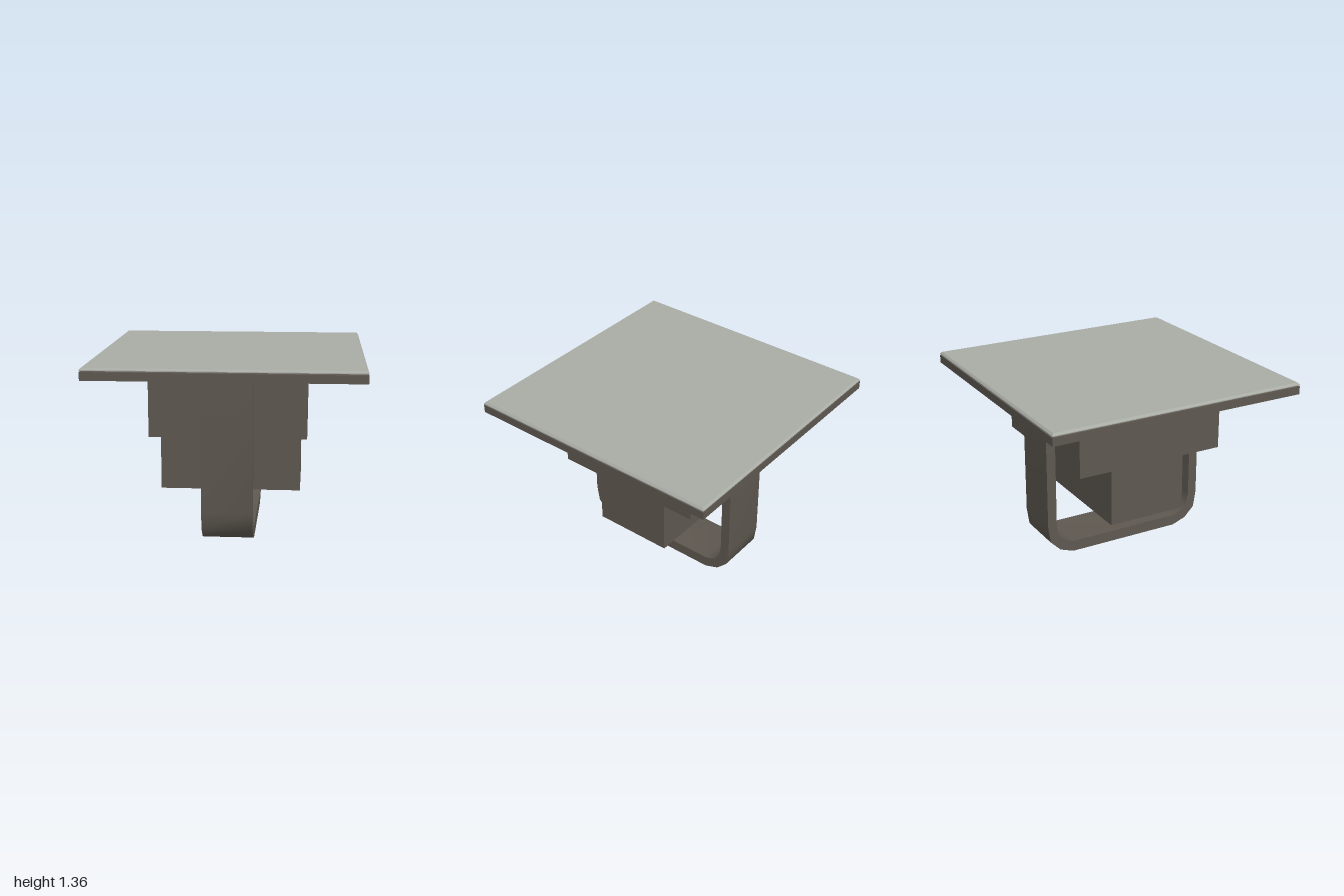
import * as THREE from 'three';
import { toCreasedNormals } from 'three/addons/utils/BufferGeometryUtils.js';

export function createModel() {
  const model = new THREE.Group();
  model.name = 'squareButton';

  const darkMetal = new THREE.MeshStandardMaterial({ color: 0x5e5850 });
  darkMetal.name = 'dark metal';
  const greyPanel = new THREE.MeshStandardMaterial({ color: 0xa9aba5 });
  greyPanel.name = 'grey panel';

  const add = (name, geometry, material) => {
    const mesh = new THREE.Mesh(geometry, material);
    mesh.name = name;
    model.add(mesh);
    return mesh;
  };
  const block = (name, width, depth, bottom, top) => {
    const mesh = add(name, new THREE.BoxGeometry(width, top - bottom, depth), darkMetal);
    mesh.position.y = (bottom + top) / 2;
  };

  // Stacked housing under the plate
  block('basePlate', 1.97, 2, 1.275, 1.335);
  block('upperHousing', 1.15, 1.18, 0.793, 1.275);
  block('lowerHousing', 1.05, 0.615, 0.333, 0.787);

  // Top panel: a thin slab with its upper rim drawn in
  const slab = new THREE.BoxGeometry(1.97, 0.02, 2, 1, 2, 1);
  const p = slab.attributes.position;
  for (let i = 0; i < p.count; i++) {
    if (p.getY(i) > 0.005) {
      p.setX(i, p.getX(i) - Math.sign(p.getX(i)) * 0.013);
      p.setZ(i, p.getZ(i) - Math.sign(p.getZ(i)) * 0.013);
    } else if (Math.abs(p.getY(i)) < 0.005) {
      p.setY(i, -0.004);
    }
  }
  add('topPanel', toCreasedNormals(slab, 0.2), greyPanel).position.y = 1.353;

  // U-shaped strap: half profiles (z, y) mirrored, then extruded across x
  const outer = [[0.663, 1.26], [0.663, 0.25], [0.643, 0.12], [0.563, 0.04], [0.453, 0]];
  const inner = [[0.453, 0.085], [0.528, 0.11], [0.576, 0.17], [0.59, 0.25], [0.59, 1.26]];
  const mirror = (points) => points.map(([z, y]) => [-z, y]).reverse();
  const outline = [...outer, ...mirror(outer), ...mirror(inner), ...inner];
  const shape = new THREE.Shape(outline.map(([z, y]) => new THREE.Vector2(z, y)));
  const strap = new THREE.ExtrudeGeometry(shape, { depth: 0.376, bevelEnabled: false });
  strap.translate(0, 0, -0.188);
  strap.rotateY(-Math.PI / 2);
  add('mountingStrap', toCreasedNormals(strap, 0.75), darkMetal);

  return model;
}
